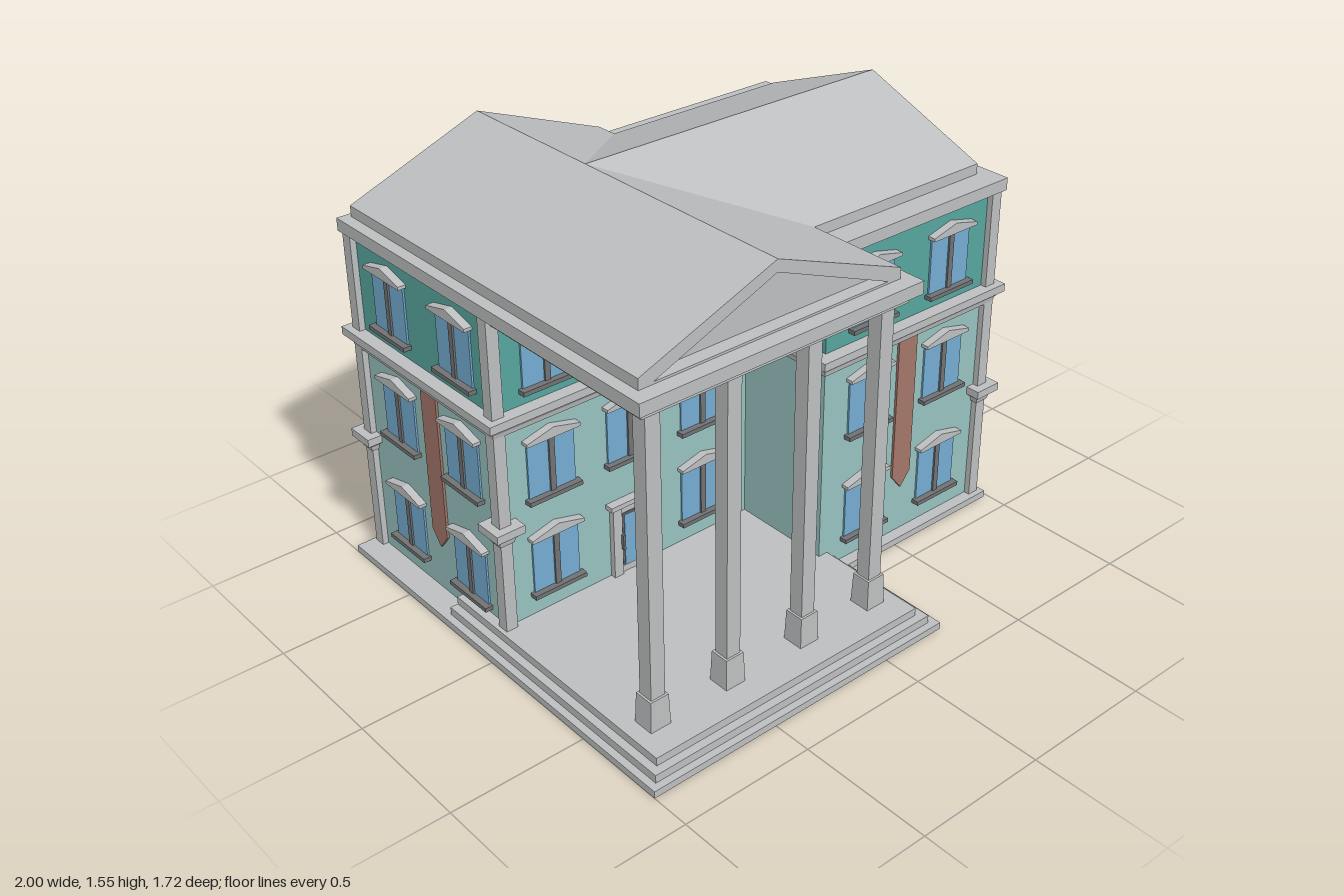
import * as THREE from 'three';

const mat = (name, color, side = THREE.FrontSide) => {
  const m = new THREE.MeshStandardMaterial({ color, side });
  m.name = name;
  return m;
};

export function createModel() {
  const stone = mat('pale stone', 0xbcbebf);
  const lowerPaint = mat('light teal wall', 0x96c2be);
  const upperPaint = mat('deep teal wall', 0x57a59e);
  const glass = mat('blue glass', 0x75abd2);
  const iron = mat('dark grey frame', 0x717273);
  const cloth = mat('rust banner', 0xa3766a);

  const model = new THREE.Group();
  model.name = 'colonnadedBuilding';

  const add = (parent, name, geometry, material) => {
    const mesh = new THREE.Mesh(geometry, material);
    mesh.name = name;
    parent.add(mesh);
    return mesh;
  };
  // Box given by its low and high corners
  const box = (parent, name, material, x0, x1, y0, y1, z0, z1) =>
    add(parent, name, new THREE.BoxGeometry(x1 - x0, y1 - y0, z1 - z0), material)
      .position.set((x0 + x1) / 2, (y0 + y1) / 2, (z0 + z1) / 2);
  const shapeOf = (pts) => new THREE.Shape(pts.map(([x, y]) => new THREE.Vector2(x, y)));
  const extrude = (shape, depth) => new THREE.ExtrudeGeometry(shape, { depth, bevelEnabled: false });
  // Horizontal slab from a plan outline of [x, z] points
  const slab = (name, material, plan, y0, y1) => {
    const g = extrude(shapeOf(plan.map(([x, z]) => [x, -z])), y1 - y0);
    add(model, name, g.rotateX(-Math.PI / 2).translate(0, y0, 0), material);
  };
  // Moulding: a plan outline offset by d at each [d, y] of the profile
  const moulding = (parent, name, material, planAt, profile) => {
    const pos = [];
    const rings = profile.map(([d, y]) => planAt(d).map(([x, z]) => [x, y, z]));
    for (let i = 0; i + 1 < rings.length; i++) {
      const a = rings[i], b = rings[i + 1];
      for (let j = 0; j < a.length; j++) {
        const k = (j + 1) % a.length;
        pos.push(...a[j], ...b[j], ...b[k], ...a[j], ...b[k], ...a[k]);
      }
    }
    const g = new THREE.BufferGeometry();
    g.setAttribute('position', new THREE.Float32BufferAttribute(pos, 3));
    g.computeVertexNormals();
    return add(parent, name, g, material);
  };

  // Wall plan: a deep right block and a shallow left wing behind the portico
  const X0 = -0.905, X1 = 0.945, XM = 0.155, ZB = -0.81, ZR = 0.365, ZL = -0.03;
  const wallPlan = (d) => [
    [X0 - d, ZB - d], [X1 + d, ZB - d], [X1 + d, ZR + d],
    [XM - d, ZR + d], [XM - d, ZL + d], [X0 - d, ZL + d],
  ];
  slab('lowerWalls', lowerPaint, wallPlan(0), 0.02, 0.87);
  slab('upperWalls', upperPaint, wallPlan(0), 0.87, 1.28);
  moulding(model, 'storeyLedge', stone, wallPlan,
    [[0, 0.838], [0.022, 0.838], [0.026, 0.856], [0.044, 0.876], [0.05, 0.878], [0.05, 0.908], [0, 0.908]]);

  // Plinth and portico steps
  slab('plinth', stone, [[-1, -0.845], [0.985, -0.845], [0.985, 0.41], [0.26, 0.41], [0.26, 0.855], [-1, 0.855]], 0, 0.026);
  box(model, 'middleStep', stone, -0.973, 0.228, 0.026, 0.056, -0.28, 0.828);
  box(model, 'topStep', stone, -0.943, 0.195, 0.056, 0.086, -0.28, 0.797);

  // Corner pilasters with a capital at half height
  for (const [x, z] of [[X1, ZR], [X1, ZB], [X0, ZB], [X0, ZL]]) {
    const g = new THREE.Group();
    g.name = 'cornerPilaster';
    g.position.set(x, 0, z);
    model.add(g);
    const r = 0.0225;
    box(g, 'pilasterShaft', stone, -r, r, 0.02, 1.272, -r, r);
    const square = (d) => [[-d, -d], [d, -d], [d, d], [-d, d]];
    moulding(g, 'pilasterCapital', stone, square,
      [[r, 0.432], [0.028, 0.432], [0.032, 0.45], [0.05, 0.468], [0.055, 0.47], [0.055, 0.5], [r, 0.5]]);
  }

  // Portico columns on square pedestals
  for (const x of [-0.845, -0.535, -0.21, 0.1]) {
    box(model, 'columnShaft', stone, x - 0.028, x + 0.028, 0.19, 1.245, 0.632, 0.688);
    const base = new THREE.CylinderGeometry(0.036 * Math.SQRT2, 0.04 * Math.SQRT2, 0.116, 4, 1).toNonIndexed();
    base.rotateY(Math.PI / 4).computeVertexNormals();
    add(model, 'columnPedestal', base, stone).position.set(x, 0.143, 0.66);
  }

  // Entablature
  box(model, 'porticoBeam', stone, -0.91, 0.157, 1.241, 1.272, ZL - 0.01, 0.72);
  slab('entablature', stone, [[-0.938, -0.842], [0.982, -0.842], [0.982, 0.397], [0.19, 0.397], [0.19, 0.748], [-0.938, 0.748]], 1.27, 1.316);

  // Two crossing gable roofs; each pediment is a frame around a recessed face
  const gable = () => shapeOf([[-0.52, 1.315], [0.52, 1.315], [0.52, 1.355], [0, 1.553], [-0.52, 1.355]]);
  const gableRoof = (name, back, front, turn, x, z) => {
    const recess = 0.05;
    const g = new THREE.Group();
    g.name = name;
    g.position.set(x, 0, z);
    g.rotation.y = turn;
    model.add(g);
    add(g, 'roofBody', extrude(gable(), front - recess - back), stone).position.z = back;
    const frame = gable();
    frame.holes.push(shapeOf([[-0.465, 1.324], [0, 1.51], [0.465, 1.324]]));
    add(g, 'pedimentFrame', extrude(frame, recess), stone).position.z = front - recess;
  };
  gableRoof('porticoRoof', -0.82, 0.69, 0, -0.375, 0);
  gableRoof('sideRoof', 0, 1.3, Math.PI / 2, -0.375, -0.215);

  // Details hang on a facade group whose local +z points out of the wall
  const facade = (name, x, z, turn) => {
    const g = new THREE.Group();
    g.name = name;
    g.position.set(x, 0, z);
    g.rotation.y = turn;
    model.add(g);
    return g;
  };
  const hood = [[-0.107, 0.228], [0.107, 0.228], [0.107, 0.24], [0, 0.267], [-0.107, 0.24]];
  const addWindow = (wall, u, y) => {
    const w = new THREE.Group();
    w.name = 'window';
    w.position.set(u, y, 0);
    wall.add(w);
    for (const s of [-1, 1]) box(w, 'pane', glass, s * 0.052 - 0.042, s * 0.052 + 0.042, 0.012, 0.232, -0.002, 0.007);
    box(w, 'mullion', iron, -0.011, 0.011, 0.012, 0.232, -0.002, 0.014);
    box(w, 'sill', iron, -0.107, 0.107, 0, 0.016, -0.002, 0.03);
    add(w, 'hood', extrude(shapeOf(hood), 0.03), stone);
  };
  const addBanner = (wall, u) => add(wall, 'banner',
    extrude(shapeOf([[u - 0.045, 0.84], [u - 0.045, 0.272], [u, 0.215], [u + 0.045, 0.272], [u + 0.045, 0.84]]), 0.009), cloth);
  const rows = [0.107, 0.535, 0.952];
  const leftCols = [-0.7, -0.375, -0.055], rightCols = [0.365, 0.735];

  const front = facade('rightBlockFront', 0, ZR, 0);
  const wing = facade('porticoWall', 0, ZL, 0);
  const back = facade('backFacade', 0, ZB, Math.PI);
  const right = facade('rightFacade', X1, 0, Math.PI / 2);
  const left = facade('leftFacade', X0, 0, -Math.PI / 2);

  rows.forEach((y, i) => {
    rightCols.forEach((x) => addWindow(front, x, y));
    leftCols.forEach((x, c) => {
      if (i > 0 || c !== 1) addWindow(wing, x, i ? y : 0.16);
    });
    [...leftCols, ...rightCols].forEach((x) => addWindow(back, -x, y));
    [0.16, -0.225, -0.6].forEach((z) => addWindow(right, -z, y));
    [-0.225, -0.6].forEach((z) => addWindow(left, z, y));
  });
  addBanner(front, 0.55);
  addBanner(right, 0.025);
  addBanner(right, 0.405);
  addBanner(left, -0.405);

  // Entrance door
  const door = new THREE.Group();
  door.name = 'entrance';
  door.position.x = -0.375;
  wing.add(door);
  for (const s of [-1, 1]) box(door, 'doorJamb', stone, s * 0.073 - 0.019, s * 0.073 + 0.019, 0.08, 0.37, -0.002, 0.022);
  box(door, 'doorLintel', stone, -0.107, 0.107, 0.37, 0.388, -0.002, 0.035);
  box(door, 'doorLeaf', stone, -0.056, 0.056, 0.08, 0.37, -0.002, 0.012);
  box(door, 'doorGlassRim', iron, -0.048, 0.048, 0.112, 0.332, 0.01, 0.015);
  box(door, 'doorGlass', glass, -0.041, 0.041, 0.119, 0.325, 0.012, 0.018);
  box(door, 'doorHandle', iron, -0.06, -0.05, 0.195, 0.255, 0.01, 0.034);

  return model;
}
